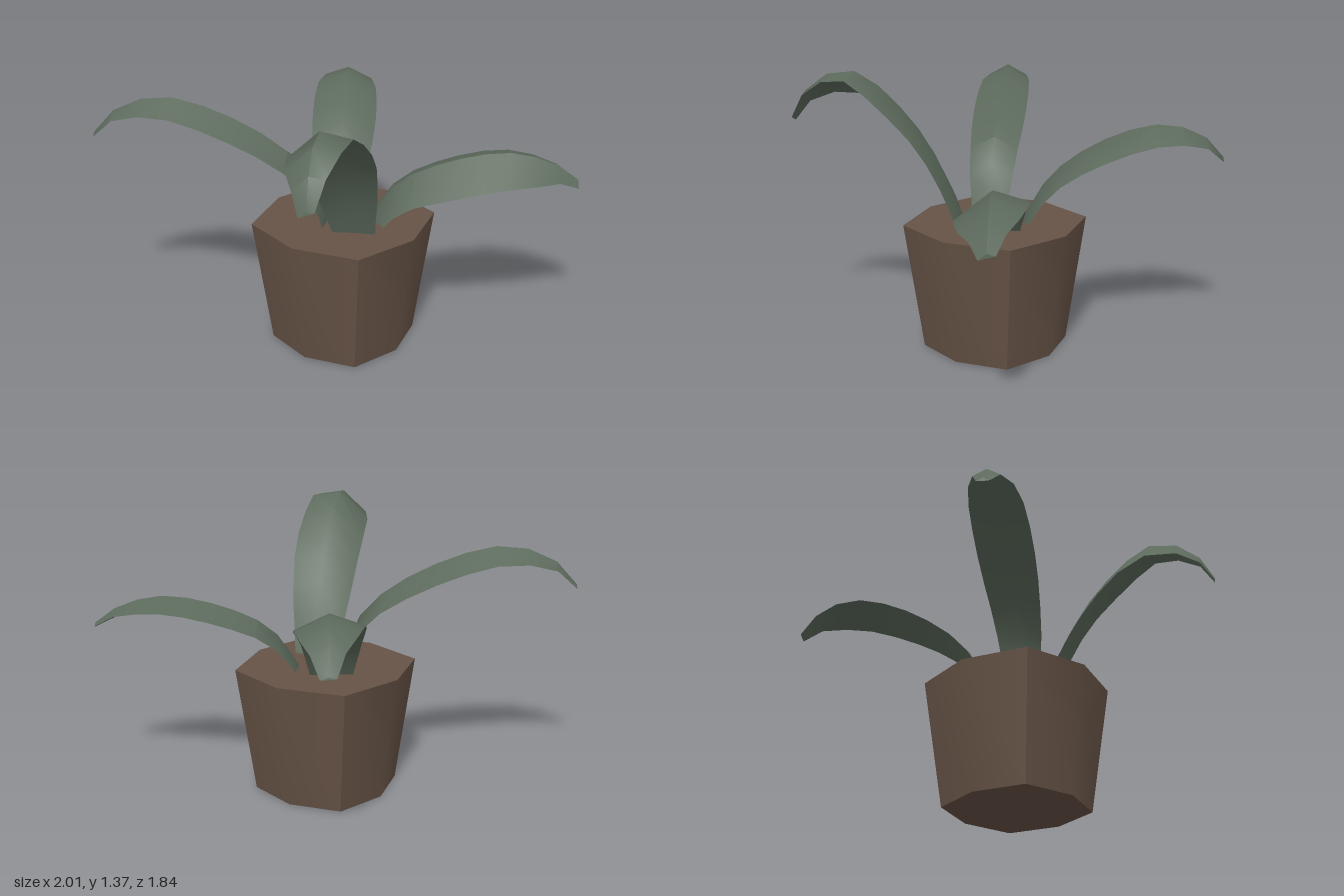
import * as THREE from 'three';
import { toCreasedNormals } from 'three/addons/utils/BufferGeometryUtils.js';

const SEGMENTS = 10;
const v3 = (x, y, z) => new THREE.Vector3(x, y, z);

// Joins closed rings of n points with side faces and caps both ends
function loft(rings) {
  const n = rings[0].length, index = [];
  const last = (rings.length - 1) * n;
  for (let a = 0; a < last; a++) {
    const b = a % n === n - 1 ? a - n + 1 : a + 1;
    index.push(a, b, a + n, b, b + n, a + n);
  }
  for (let i = 1; i < n - 1; i++) {
    index.push(0, i + 1, i, last, last + i, last + i + 1);
  }
  const geometry = new THREE.BufferGeometry().setFromPoints(rings.flat());
  geometry.setIndex(index);
  return toCreasedNormals(geometry, 0.8);
}

// Rounded-square pot ring: eight corners, the diagonal ones further out
function potRing(y, radius) {
  return Array.from({ length: 8 }, (_, i) => {
    const a = -i * Math.PI / 4, r = i % 2 ? radius * 1.105 : radius;
    return v3(0.048 + Math.cos(a) * r, y, 0.005 + Math.sin(a) * r);
  });
}

// Share of the full leaf width from root to tip
const taper = new THREE.SplineCurve(
  [0.58, 0.84, 1, 0.86, 0.22].map((w, i) => new THREE.Vector2(i / 4, w)));

// Roof-shaped blade along a ridge curve. Each drop is how far that edge
// falls below the ridge, per unit of half width.
function leafGeometry({ ridge, halfWidth, dropA, dropB }) {
  const curve = new THREE.CatmullRomCurve3(ridge.map((p) => v3(...p)));
  const rings = [];
  for (let i = 0; i <= SEGMENTS; i++) {
    const t = i / SEGMENTS;
    const { x, y, z } = curve.getPointAt(t);
    const w = halfWidth * taper.getPoint(t).y;
    const tangent = curve.getTangentAt(t);
    const side = v3(tangent.z, 0, -tangent.x).setLength(w);
    rings.push([
      v3(x, y, z),
      v3(x - side.x, y - dropB * w, z - side.z),
      v3(x, y - (dropA + dropB) / 4 * w - 0.01, z),
      v3(x + side.x, y - dropA * w, z + side.z),
    ]);
  }
  return loft(rings);
}

const LEAVES = {
  frontRightLeaf: {
    halfWidth: 0.137, dropA: 0.55, dropB: 0.55,
    ridge: [[0.01, 0.6, 0.075], [-0.07, 0.88, 0.12], [-0.28, 1.09, 0.235],
      [-0.68, 1.255, 0.465], [-0.89, 1.185, 0.595], [-0.985, 1.065, 0.655]],
  },
  backRightLeaf: {
    halfWidth: 0.165, dropA: 0.35, dropB: 0.5,
    ridge: [[-0.035, 0.6, -0.07], [-0.13, 0.88, -0.21], [-0.28, 1.07, -0.45],
      [-0.43, 1.135, -0.68], [-0.54, 1.06, -0.85], [-0.58, 0.975, -0.905]],
  },
  backLeftLeaf: {
    halfWidth: 0.17, dropA: 0.3, dropB: 0.8,
    ridge: [[0.13, 0.6, -0.07], [0.26, 0.83, -0.16], [0.47, 0.95, -0.295],
      [0.72, 1, -0.46], [0.9, 0.94, -0.582], [0.985, 0.865, -0.64]],
  },
  frontLeftLeaf: {
    halfWidth: 0.16, dropA: 0.15, dropB: 0.95,
    ridge: [[0.18, 0.6, 0.08], [0.225, 0.93, 0.2], [0.295, 1.2, 0.38],
      [0.375, 1.375, 0.63], [0.465, 1.31, 0.81], [0.515, 1.145, 0.9]],
  },
};

export function createModel() {
  const model = new THREE.Group();
  const potMaterial = new THREE.MeshStandardMaterial({ color: 0x665346 });
  const leafMaterial = new THREE.MeshStandardMaterial({ color: 0x5c6a5c });

  const pot = new THREE.Mesh(loft([potRing(0, 0.328), potRing(0.64, 0.414)]), potMaterial);
  pot.name = 'pot';
  model.add(pot);

  for (const [name, shape] of Object.entries(LEAVES)) {
    const leaf = new THREE.Mesh(leafGeometry(shape), leafMaterial);
    leaf.name = name;
    model.add(leaf);
  }
  return model;
}
